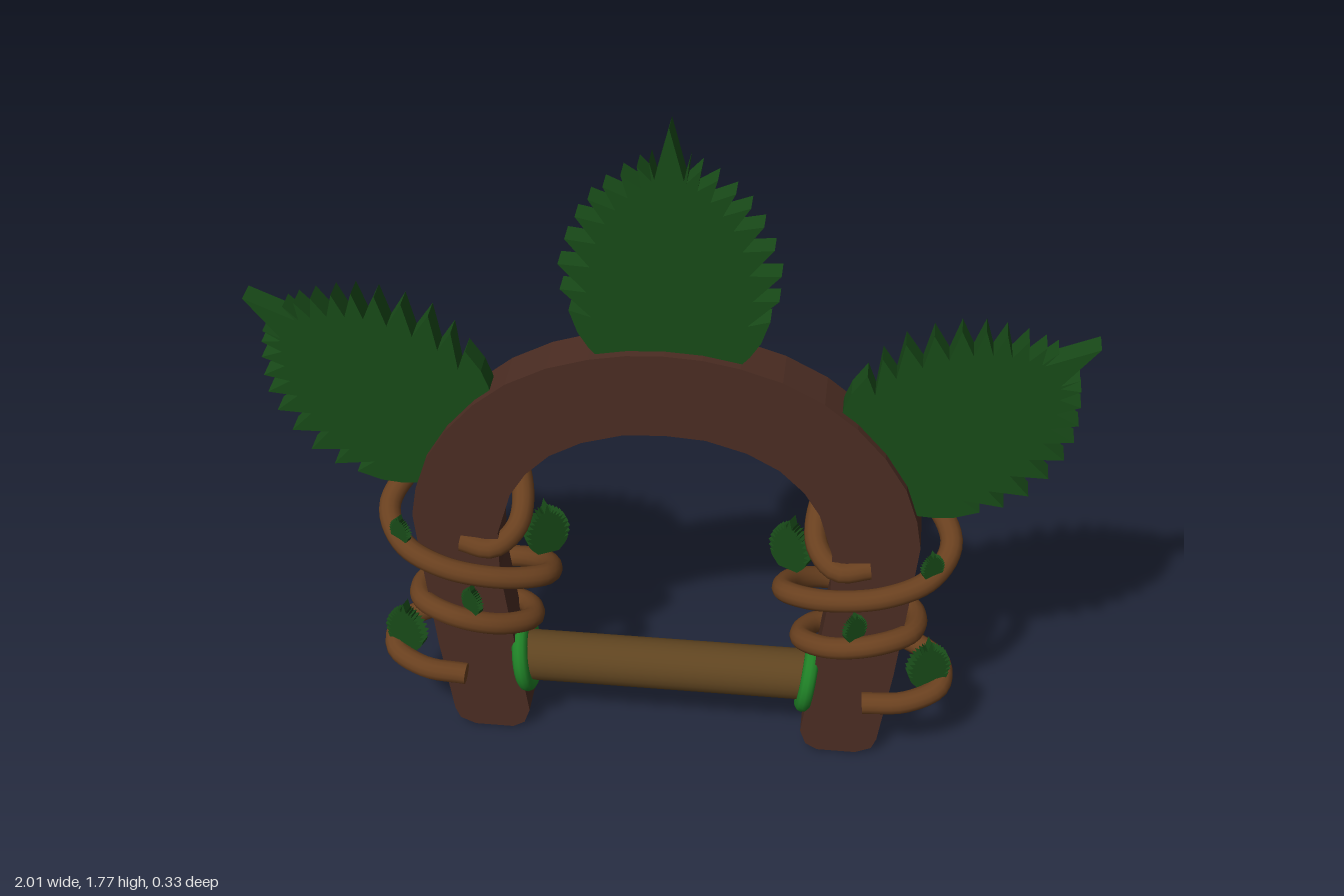
import * as THREE from 'three';

const paint = (color) => new THREE.MeshStandardMaterial({ color });
const WOOD = paint(0x4a2c22), VINE = paint(0x69401f), BAR = paint(0x5f4420);
const LEAF = paint(0x184a18), RING = paint(0x1f8026);
const MID_Z = 0.03;

const add = (parent, name, geometry, material) => {
  const mesh = new THREE.Mesh(geometry, material);
  mesh.name = name;
  parent.add(mesh);
  return mesh;
};

const vec2 = (points) => points.map(([x, y]) => new THREE.Vector2(x, y));

// Flat serrated leaf growing along +y from its base, centred in depth
function leafGeometry(depth) {
  const teeth = 10;
  const envelope = new THREE.SplineCurve(vec2([
    [0.235, 0.15], [0.26, 0.24], [0.24, 0.34], [0.2, 0.425], [0.15, 0.48], [0.09, 0.525], [0.045, 0.55],
  ]));
  const side = [[0.12, -0.03], [0.19, 0.05], [0.215, 0.09]];
  for (let i = 0; i < teeth; i++) {
    const tip = envelope.getPoint(i / (teeth - 1));
    side.push([tip.x, tip.y]);
    // Notch behind the next tooth
    const next = envelope.getPoint(Math.min(1, (i + 0.6) / (teeth - 1)));
    side.push([next.x * 0.74, next.y - 0.045]);
  }
  const mirrored = side.map(([x, y]) => [-x, y]).reverse();
  const shape = new THREE.Shape(vec2([...side, [0, 0.635], ...mirrored]));
  const geometry = new THREE.ExtrudeGeometry(shape, { depth, bevelEnabled: false });
  return geometry.translate(0, 0, -depth / 2);
}

// Horseshoe arch: half outline, outer then inner, mirrored across x = 0
function archGeometry() {
  const outer = [
    [0.09, 1.187], [0.18, 1.17], [0.28, 1.138], [0.38, 1.085], [0.46, 1.02], [0.53, 0.94],
    [0.585, 0.85], [0.615, 0.76], [0.628, 0.68], [0.61, 0.5], [0.585, 0.27], [0.553, 0.05],
    [0.54, 0.018], [0.5, 0],
  ];
  const inner = [
    [0.4, 0], [0.37, 0.018], [0.355, 0.06], [0.39, 0.32], [0.415, 0.52], [0.415, 0.64], [0.38, 0.76],
    [0.34, 0.825], [0.28, 0.885], [0.2, 0.93], [0.1, 0.96],
  ];
  const half = [...outer, ...inner];
  const mirrored = half.map(([x, y]) => [-x, y]).reverse();
  // Right half down and back up to the crown of the opening, then the other half
  const shape = new THREE.Shape(vec2([[0, 1.192], ...half, [0, 0.967], ...mirrored]));
  return new THREE.ExtrudeGeometry(shape, { depth: 0.118, bevelEnabled: false }).translate(0, 0, -0.031);
}

// Vine winding up one leg, with flat ends and small leaves
function buildVine() {
  const group = new THREE.Group();
  const path = new THREE.CatmullRomCurve3([
    [0.51, 0.2, 0.12], [0.62, 0.21, 0.115], [0.7, 0.23, 0.07], [0.7, 0.255, 0], [0.6, 0.28, -0.06],
    [0.47, 0.3, -0.085], [0.37, 0.32, -0.04], [0.345, 0.345, 0.05], [0.42, 0.375, 0.12],
    [0.53, 0.405, 0.135], [0.62, 0.41, 0.08], [0.625, 0.4, -0.02], [0.53, 0.395, -0.11],
    [0.4, 0.42, -0.105], [0.31, 0.465, -0.03], [0.3, 0.5, 0.06], [0.4, 0.525, 0.12],
    [0.55, 0.555, 0.13], [0.66, 0.585, 0.08], [0.705, 0.64, 0], [0.65, 0.71, -0.08],
    [0.53, 0.765, -0.135], [0.42, 0.755, -0.125], [0.375, 0.69, -0.06], [0.375, 0.625, 0.03],
    [0.43, 0.592, 0.085], [0.51, 0.6, 0.075],
  ].map((p) => new THREE.Vector3(...p)));
  const radius = 0.028;
  add(group, 'vineStem', new THREE.TubeGeometry(path, 160, radius, 12), VINE);
  for (const t of [0, 1]) {
    const cap = add(group, 'vineEnd', new THREE.CircleGeometry(radius, 12), VINE);
    const tangent = path.getTangent(t).multiplyScalar(t ? 1 : -1);
    cap.position.copy(path.getPoint(t));
    cap.quaternion.setFromUnitVectors(new THREE.Vector3(0, 0, 1), tangent);
  }
  // Position, scale and turn about the vertical of each small leaf
  const sprouts = [
    [0.67, 0.24, 0.065, 0.22, 0.3], [0.31, 0.53, -0.01, 0.23, -0.5],
    [0.48, 0.42, 0.13, 0.13, 0.6], [0.66, 0.6, 0.09, 0.12, 0.5], [0.54, 0.43, -0.1, 0.23, 0.2],
  ];
  const geometry = leafGeometry(0.12);
  for (const [x, y, z, scale, turn] of sprouts) {
    const leaf = add(group, 'smallLeaf', geometry, LEAF);
    leaf.position.set(x, y, z);
    leaf.rotation.y = turn;
    leaf.scale.setScalar(scale);
  }
  return group;
}

export function createModel() {
  const model = new THREE.Group();
  model.name = 'leafyArch';
  add(model, 'arch', archGeometry(), WOOD);

  // Large leaves fanned over the arch
  const big = leafGeometry(0.06);
  for (const [name, x, y, angle] of [
    ['topLeaf', 0.01, 1.14, 0], ['leftLeaf', 0.5, 0.88, -0.913], ['rightLeaf', -0.5, 0.88, 0.913],
  ]) {
    const leaf = add(model, name, big, LEAF);
    leaf.position.set(x, y, 0.035);
    leaf.rotation.z = angle;
  }

  // Crossbar between the legs
  const bar = add(model, 'crossbar', new THREE.CylinderGeometry(0.066, 0.066, 0.74, 24), BAR);
  bar.rotation.z = Math.PI / 2;
  bar.position.set(0, 0.205, MID_Z);

  // Bar collars and vines, one per leg
  for (const side of [1, -1]) {
    const half = new THREE.Group();
    half.name = side > 0 ? 'leftLegDressing' : 'rightLegDressing';
    half.scale.x = side;
    const ring = add(half, 'barCollar', new THREE.TorusGeometry(0.082, 0.02, 10, 28).rotateY(Math.PI / 2), RING);
    ring.position.set(0.366, 0.21, MID_Z);
    ring.rotation.z = -0.14;
    const vine = buildVine();
    vine.name = 'vine';
    half.add(vine);
    model.add(half);
  }
  return model;
}
